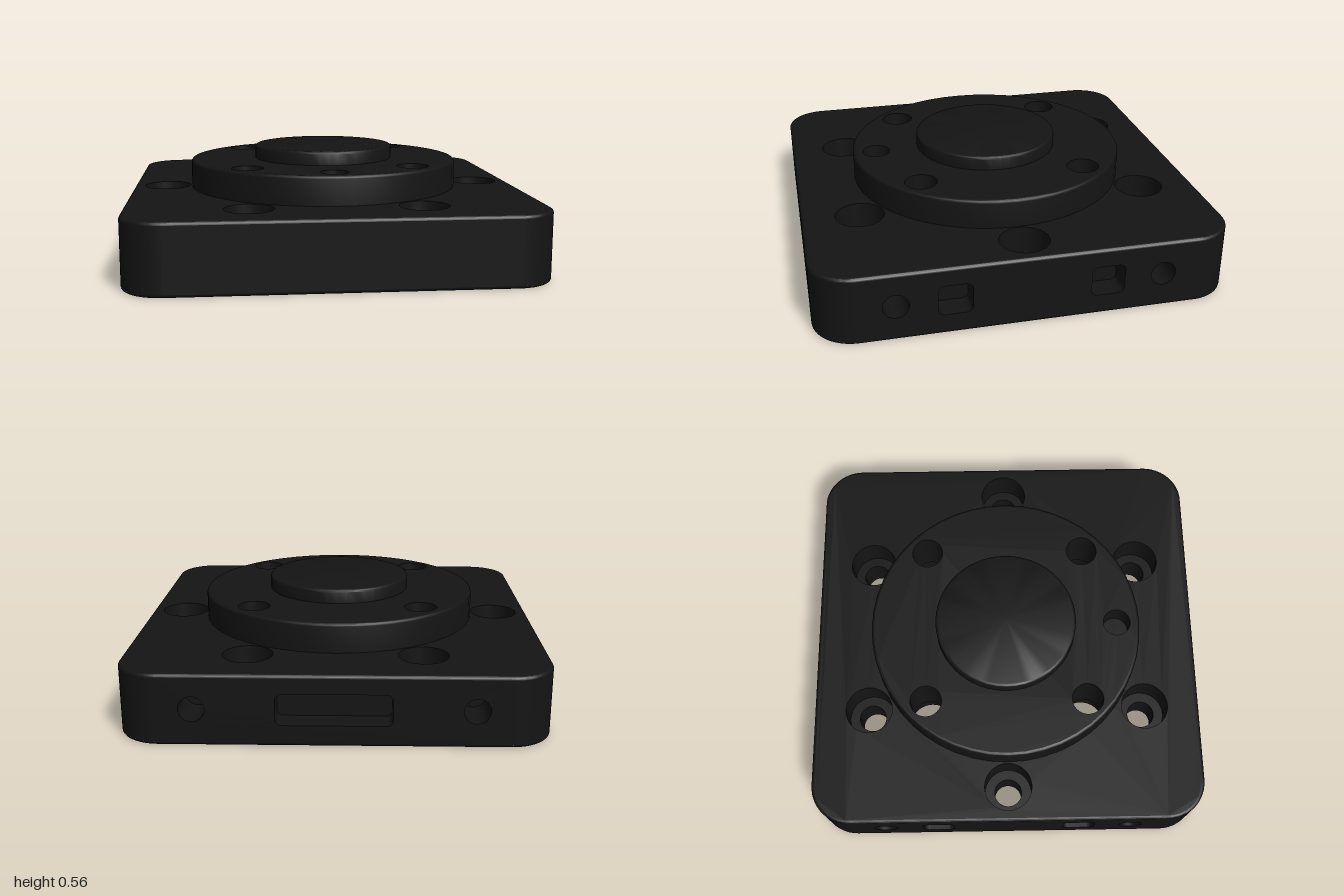
import * as THREE from 'three';
import { toCreasedNormals } from 'three/addons/utils/BufferGeometryUtils.js';

const PLATE_TOP = 0.34, DISC_TOP = 0.485, BOSS_TOP = 0.555;
const CORNER = 0.2, EDGE = 0.015, SEG = 48;
const material = new THREE.MeshStandardMaterial({ color: 0x141414 });

function add(parent, name, geometry) {
  const mesh = new THREE.Mesh(geometry, material);
  mesh.name = name;
  parent.add(mesh);
  return mesh;
}

// Rounded rectangle and circle outlines, counter-clockwise
function roundRect(w, h, r, cx = 0, cy = 0) {
  const s = new THREE.Shape();
  [[1, 1], [-1, 1], [-1, -1], [1, -1]].forEach(([sx, sy], i) =>
    s.absarc(cx + sx * (w / 2 - r), cy + sy * (h / 2 - r), r, i * Math.PI / 2, (i + 1) * Math.PI / 2));
  return s;
}

function circle(r, cx = 0, cy = 0) {
  return new THREE.Shape().absarc(cx, cy, r, 0, Math.PI * 2);
}

function outlinePoints(shape, n = 12) {
  const pts = shape.getPoints(n);
  if (pts[0].distanceTo(pts[pts.length - 1]) < 1e-5) pts.pop();
  return pts;
}

// Skin between successive closed rings
function loft(rings) {
  const n = rings[0].length, index = [];
  for (let k = 0; k < rings.length - 1; k++) {
    for (let i = 0; i < n; i++) {
      const j = (i + 1) % n, a = k * n, b = a + n;
      index.push(a + i, a + j, b + j, a + i, b + j, b + i);
    }
  }
  const geo = new THREE.BufferGeometry().setFromPoints(rings.flat());
  geo.setIndex(index);
  return toCreasedNormals(geo, 0.7);
}

// Revolved profile: upward travel faces outward, downward faces inward
function lathe(profile) {
  return toCreasedNormals(new THREE.LatheGeometry(profile.map(p => new THREE.Vector2(...p)), SEG), 0.6);
}

// Horizontal face with holes; up or down facing
function flatFace(shape, holes, y, up = true) {
  shape.holes = holes.map(([x, z, r]) => circle(r, x, up ? -z : z));
  const geo = new THREE.ShapeGeometry(shape, 24);
  return geo.rotateX(up ? -Math.PI / 2 : Math.PI / 2).translate(0, y, 0);
}

// Quarter-round edge steps as [inset, height from outer face]
const fillet = [0, 1, 2, 3, 4].map(i => {
  const a = i / 4 * Math.PI / 2;
  return [EDGE * (1 - Math.cos(a)), EDGE * (1 - Math.sin(a))];
});

// Stepped round body with a softened top edge
function roundSide(r, bottom, top) {
  return [[r, bottom], ...fillet.map(([inset, down]) => [r - inset, top - down])];
}

// Sideways blind recess opening toward +z
function recess(parent, name, shape, depth) {
  const pts = outlinePoints(shape);
  const ring = z => pts.map(p => new THREE.Vector3(p.x, p.y, z));
  add(parent, name + 'Wall', loft([ring(1), ring(1 - depth)]));
  add(parent, name + 'Floor', new THREE.ShapeGeometry(shape, 12).translate(0, 0, 1 - depth));
}

export function createModel() {
  const model = new THREE.Group();
  model.name = 'mountingStage';

  // Hole positions
  const corners = [[1, 1], [-1, 1], [-1, -1], [1, -1]];
  const screwHoles = [...corners.map(([x, z]) => [x * 0.413, z * 0.718]), [0.827, 0], [-0.827, 0]];
  const discHoles = corners.map(([x, z]) => [x * 0.412, z * 0.412]);
  const dowelHoles = [[0.8, -0.2], [-0.8, -0.2]];
  const sized = (list, r) => list.map(([x, z]) => [x, z, r]);

  // Plate faces and rounded rims
  const faceShape = () => roundRect(2 - 2 * EDGE, 2 - 2 * EDGE, CORNER - EDGE);
  add(model, 'plateTop', flatFace(faceShape(), [...sized(screwHoles, 0.12), [0, 0, 0.69]], PLATE_TOP));
  add(model, 'plateBottom', flatFace(faceShape(),
    [...sized(screwHoles, 0.07), ...sized(discHoles, 0.12), ...sized(dowelHoles, 0.042)], 0, false));
  const rimRing = (inset, y) => outlinePoints(roundRect(2 - 2 * inset, 2 - 2 * inset, CORNER - inset))
    .map(p => new THREE.Vector3(p.x, y, -p.y));
  add(model, 'topRim', loft(fillet.map(([inset, down]) => rimRing(inset, PLATE_TOP - down))));
  add(model, 'bottomRim', loft(fillet.map(([inset, up]) => rimRing(inset, up)).reverse()));

  // Plate sides: front plain, both flanks alike, back with a wide slot
  const midY = 0.175, wallH = PLATE_TOP - 2 * EDGE;
  const pin = x => ['pinHole', () => circle(0.06, x, midY), 0.2];
  const pocket = (x, w) => ['pocket', () => roundRect(w, 0.15, 0.03, x, midY), 0.12];
  const flank = [pin(-0.63), pin(0.63), pocket(-0.36, 0.16), pocket(0.36, 0.16)];
  const back = [pin(-0.64), pin(0.64), pocket(0, 0.53)];
  [['front', []], ['left', flank], ['back', back], ['right', flank]].forEach(([name, cuts], i) => {
    const side = new THREE.Group();
    side.name = name + 'Side';
    side.rotation.y = i * Math.PI / 2;
    const hw = 1 - CORNER, y0 = EDGE, y1 = PLATE_TOP - EDGE;
    const wall = new THREE.Shape([[-hw, y0], [hw, y0], [hw, y1], [-hw, y1]].map(p => new THREE.Vector2(...p)));
    wall.holes = cuts.map(([, make]) => make());
    add(side, name + 'Wall', new THREE.ShapeGeometry(wall, 12).translate(0, 0, 1));
    add(side, name + 'Corner', new THREE.CylinderGeometry(CORNER, CORNER, wallH, 12, 1, true, 0, Math.PI / 2)
      .translate(hw, PLATE_TOP / 2, hw));
    cuts.forEach(([label, make, depth]) => recess(side, name + label, make(), depth));
    model.add(side);
  });

  // Raised disc with bolt holes and centre boss
  add(model, 'discSide', lathe(roundSide(0.7, PLATE_TOP - 0.01, DISC_TOP)));
  const locator = [0, 0.58];
  add(model, 'discTop', flatFace(circle(0.7 - EDGE),
    [...sized(discHoles, 0.08), [...locator, 0.07]], DISC_TOP));
  add(model, 'boss', lathe([...roundSide(0.363, DISC_TOP - 0.01, BOSS_TOP), [0, BOSS_TOP]]));

  // Bores
  const bore = (name, list, profile) => list.forEach(([x, z]) =>
    add(model, name, lathe(profile)).position.set(x, 0, z));
  bore('screwBore', screwHoles, [[0.12, PLATE_TOP], [0.12, 0.17], [0.07, 0.17], [0.07, 0]]);
  bore('discBore', discHoles, [[0.08, DISC_TOP], [0.08, 0.2], [0.12, 0.2], [0.12, 0]]);
  bore('dowelBore', dowelHoles, [[0, 0.15], [0.042, 0.15], [0.042, 0]]);
  bore('locatorBore', [locator], [[0.07, DISC_TOP], [0.07, 0.36], [0, 0.36]]);

  return model;
}
